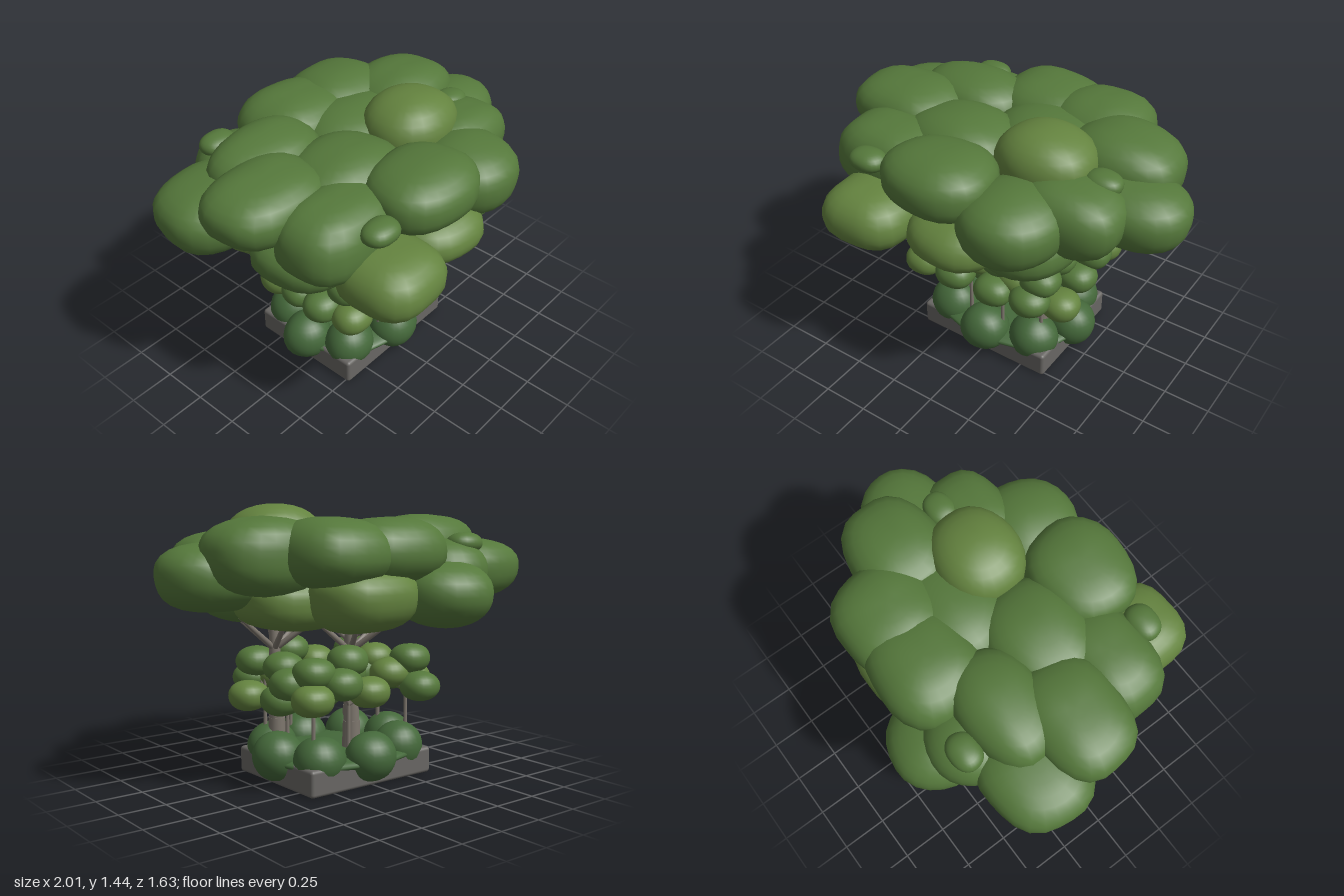
import * as THREE from 'three';
import { mergeVertices } from 'three/addons/utils/BufferGeometryUtils.js';
import { RoundedBoxGeometry } from 'three/addons/geometries/RoundedBoxGeometry.js';

const mat = (color) => new THREE.MeshStandardMaterial({ color, roughness: 0.9 });

export function createModel() {
  const root = new THREE.Group();
  const leaf = mat(0x55783b), lightLeaf = mat(0x64833f), darkLeaf = mat(0x44683a);
  const bark = mat(0x7c756c), stone = mat(0x686663);
  const CZ = -0.05; // depth centre of the planter

  const group = (name, parent = root) => {
    const g = new THREE.Group();
    g.name = name;
    parent.add(g);
    return g;
  };

  // Full, softly lobed clump used for all foliage; a higher power gives squarer shoulders
  function blob(parent, name, [x, y, z], [rx, ry, rz], material, seed, lobes = 0.03, power = 2.2) {
    let geo = new THREE.SphereGeometry(1, 24, 16);
    geo.deleteAttribute('uv');
    geo.deleteAttribute('normal');
    geo = mergeVertices(geo, 1e-4);
    const p = geo.attributes.position, v = new THREE.Vector3();
    for (let i = 0; i < p.count; i++) {
      v.fromBufferAttribute(p, i);
      const n = Math.sin(v.x * 5.1 + seed * 1.7) + Math.sin(v.z * 5.6 + seed * 2.3) + Math.sin(v.y * 3.7 + seed);
      const len = (Math.abs(v.x) ** power + Math.abs(v.y) ** power + Math.abs(v.z) ** power) ** (1 / power);
      v.multiplyScalar((1 + (n / 3) * lobes) / len);
      p.setXYZ(i, v.x * rx, v.y * ry, v.z * rz);
    }
    geo.computeVertexNormals();
    const m = new THREE.Mesh(geo, material);
    m.name = name;
    m.position.set(x, y, z);
    parent.add(m);
  }

  // Tapered round limb between two points
  function limb(parent, name, a, b, r0, r1, sides = 12) {
    const s = new THREE.Vector3(...a), d = new THREE.Vector3(...b).sub(s);
    const m = new THREE.Mesh(new THREE.CylinderGeometry(r1, r0, d.length(), sides), bark);
    m.name = name;
    m.position.copy(s).addScaledVector(d, 0.5);
    m.quaternion.setFromUnitVectors(new THREE.Vector3(0, 1, 0), d.normalize());
    parent.add(m);
  }

  // Planter block and ground cover
  const base = new THREE.Mesh(new RoundedBoxGeometry(0.8, 0.14, 0.655, 3, 0.018), stone);
  base.name = 'planterBase';
  base.position.set(0, 0.07, CZ);
  root.add(base);
  blob(root, 'groundCover', [0, 0.125, CZ], [0.43, 0.05, 0.37], darkLeaf, 2);

  // Ring of round bushes over the planter edge
  const bushes = group('bushes');
  for (let i = 0; i < 8; i++) {
    const a = (i / 8) * Math.PI * 2;
    blob(bushes, 'bush', [Math.cos(a) * 0.375, 0.148, CZ + Math.sin(a) * 0.3],
      [0.138, 0.13, 0.13], darkLeaf, i, 0.03, 2);
  }

  // Tall trees: flared trunk, then forked branches carrying the crown
  const trees = group('tallTrees');
  for (const [x, z, turn] of [[-0.24, 0.11, 0.3], [0.27, 0.11, 0.9], [0, -0.19, 0]]) {
    const t = group('tallTree', trees);
    limb(t, 'rootFlare', [x, 0.1, z], [x, 0.31, z], 0.052, 0.045, 16);
    limb(t, 'trunk', [x, 0.31, z], [x + 0.01, 0.7, z], 0.042, 0.03, 16);
    limb(t, 'leader', [x + 0.01, 0.7, z], [x + 0.02, 0.9, z], 0.03, 0.024, 16);
    for (let i = 0; i < 6; i++) {
      const a = turn + (i / 6) * Math.PI * 2;
      limb(t, 'branch', [x + 0.01, 0.68, z],
        [x + Math.cos(a) * 0.25, 0.87, z + Math.sin(a) * 0.25], 0.017, 0.011, 8);
    }
  }

  // Saplings: stem x, z, then the centres of the leaf clumps
  const saplings = group('saplings');
  const plants = [
    [0.31, 0.16, [[0.42, 0.44, 0.15], [0.31, 0.51, 0.28], [0.33, 0.61, 0.21], [0.22, 0.53, 0.2]]],
    [0.1, 0.22, [[0.1, 0.65, 0.23], [0.1, 0.5, 0.3], [0.18, 0.55, 0.2]]],
    [-0.1, 0.23, [[-0.15, 0.5, 0.3], [-0.05, 0.58, 0.2], [-0.05, 0.49, 0.14]]],
    [-0.32, 0.19, [[-0.37, 0.48, 0.28], [-0.42, 0.5, 0.12], [-0.33, 0.61, 0.21], [-0.25, 0.55, 0.14]]],
    [0.1, -0.29, [[0.1, 0.65, -0.28], [0.2, 0.55, -0.36], [0.02, 0.49, -0.36], [0.05, 0.57, -0.2]]],
    [0.31, -0.27, [[0.4, 0.55, -0.2], [0.38, 0.49, -0.36], [0.33, 0.61, -0.3], [0.24, 0.5, -0.24]]],
    [-0.32, -0.26, [[-0.41, 0.5, -0.2], [-0.33, 0.62, -0.28], [-0.33, 0.48, -0.36], [-0.22, 0.55, -0.24]]],
    [0.3, -0.03, [[0.38, 0.45, -0.09], [0.3, 0.6, 0], [0.22, 0.5, 0.04]]],
    [-0.32, -0.03, [[-0.4, 0.49, -0.05], [-0.32, 0.59, 0], [-0.24, 0.52, 0.02]]],
  ];
  plants.forEach(([x, z, clumps], k) => {
    const s = group('sapling', saplings);
    limb(s, 'stem', [x, 0.1, z], [x, 0.57, z], 0.012, 0.008, 8);
    clumps.forEach((c, i) => {
      limb(s, 'twig', [x, 0.42, z], c, 0.007, 0.005, 6);
      blob(s, 'saplingLeaves', c, [0.108, 0.08, 0.1], (i + k) % 3 ? leaf : lightLeaf, i + k);
    });
  });

  // Broad crown, as x, y, z then radii
  const crown = group('crown');
  const upper = [
    [-0.71, 1.09, -0.3, 0.29, 0.17, 0.26],
    [-0.4, 1.09, -0.46, 0.22, 0.17, 0.21],
    [-0.02, 1.21, -0.43, 0.3, 0.17, 0.26],
    [0.3, 1.21, -0.41, 0.28, 0.17, 0.27],
    [-0.4, 1.22, -0.26, 0.32, 0.16, 0.22],
    [0.55, 1.19, -0.19, 0.31, 0.19, 0.25],
    [0.7, 1.09, 0.0, 0.3, 0.17, 0.23],
    [-0.64, 1.22, -0.02, 0.31, 0.16, 0.24],
    [-0.22, 1.21, 0.1, 0.3, 0.15, 0.25],
    [0.14, 1.19, -0.16, 0.32, 0.15, 0.26],
    [-0.5, 1.13, 0.3, 0.31, 0.19, 0.23],
    [-0.08, 1.23, 0.47, 0.29, 0.15, 0.25],
    [0.31, 1.11, 0.44, 0.26, 0.18, 0.26],
    [0.5, 1.12, 0.24, 0.28, 0.19, 0.21],
  ];
  upper.forEach(([x, y, z, ...r], i) => blob(crown, 'crownClump', [x, y, z], r, leaf, i, 0.05, 2.4));
  blob(crown, 'crownPeak', [0.28, 1.26, 0.1], [0.26, 0.18, 0.23], lightLeaf, 5);
  const lower = [
    [-0.29, 0.99, -0.56, 0.24, 0.17, 0.25],
    [-0.43, 0.97, 0.57, 0.24, 0.155, 0.24],
    [0.02, 0.95, 0.46, 0.25, 0.13, 0.25],
    [0.32, 0.965, 0.33, 0.26, 0.15, 0.25],
    [0.36, 0.96, -0.14, 0.27, 0.145, 0.26],
    [0.14, 0.985, -0.44, 0.28, 0.17, 0.24],
    [-0.54, 0.97, 0.15, 0.26, 0.15, 0.26],
    [-0.46, 0.97, -0.22, 0.29, 0.155, 0.25],
    [-0.1, 0.96, 0.14, 0.28, 0.14, 0.26],
    [-0.06, 0.96, -0.22, 0.28, 0.14, 0.26],
  ];
  lower.forEach(([x, y, z, ...r], i) =>
    blob(crown, 'lowerClump', [x, y, z], r, i % 3 ? lightLeaf : leaf, i + 20, 0.05, 2.4));
  for (const [x, y, z] of [[-0.47, 1.24, -0.53], [-0.47, 1.23, 0.54], [0.6, 1.26, 0.11]])
    blob(crown, 'crownTuft', [x, y, z], [0.1, 0.055, 0.08], leaf, x * 9);

  return root;
}
